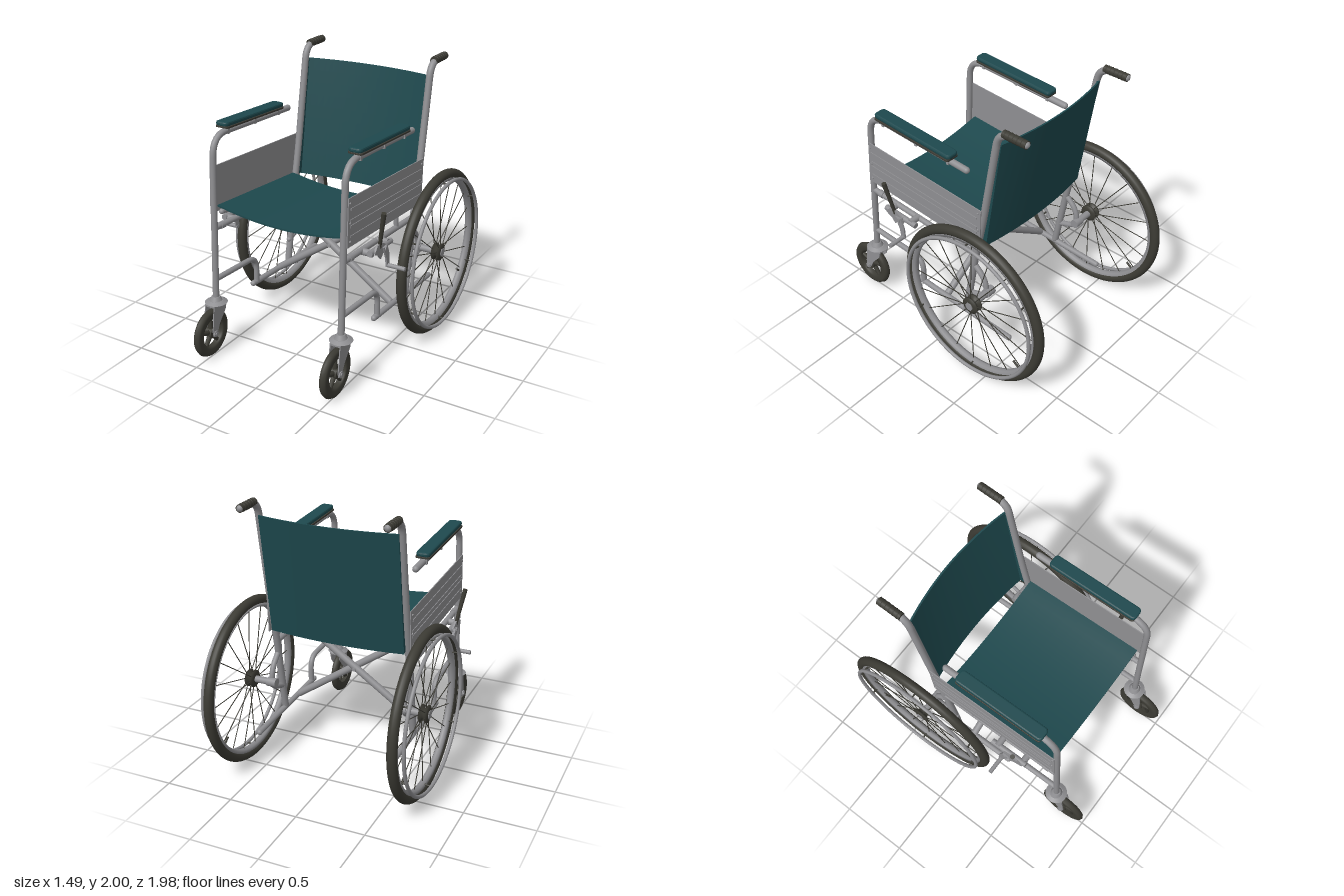
import * as THREE from 'three';

const material = (name, color) => {
  const m = new THREE.MeshStandardMaterial({ color });
  m.name = name;
  return m;
};

export function createModel() {
  const metal = material('grey metal', 0x8f8f92);
  const rubber = material('dark rubber', 0x3c3b34);
  const fabric = material('teal upholstery', 0x1e494e);
  const model = new THREE.Group();
  model.name = 'wheelchair';
  const V = (x, y, z) => new THREE.Vector3(x, y, z);

  const add = (parent, name, geometry, mat, x = 0, y = 0, z = 0) => {
    const mesh = new THREE.Mesh(geometry, mat);
    mesh.name = name;
    mesh.position.set(x, y, z);
    parent.add(mesh);
    return mesh;
  };

  // Straight rod between two points
  const rod = (parent, name, a, b, r, mat, r2 = r, sides = 16) => {
    const mesh = add(parent, name, new THREE.CylinderGeometry(r2, r, a.distanceTo(b), sides), mat);
    mesh.position.copy(a).lerp(b, 0.5);
    mesh.quaternion.setFromUnitVectors(V(0, 1, 0), b.clone().sub(a).normalize());
  };

  // Round tube through points, with rounded corners and closed ends
  const pipe = (parent, name, pts, r, bend = 0.1) => {
    const path = new THREE.CurvePath();
    let from = pts[0];
    for (let i = 1; i < pts.length - 1; i++) {
      const [a, b, c] = [pts[i - 1], pts[i], pts[i + 1]];
      const d = Math.min(bend, a.distanceTo(b) * 0.49, c.distanceTo(b) * 0.49);
      const p = b.clone().add(a.clone().sub(b).setLength(d));
      const q = b.clone().add(c.clone().sub(b).setLength(d));
      path.add(new THREE.LineCurve3(from, p));
      path.add(new THREE.QuadraticBezierCurve3(p, b, q));
      from = q;
    }
    path.add(new THREE.LineCurve3(from, pts[pts.length - 1]));
    add(parent, name, new THREE.TubeGeometry(path, pts.length > 2 ? 64 : 2, r, 14), metal);
    for (const e of [pts[0], pts[pts.length - 1]]) {
      add(parent, name + 'End', new THREE.SphereGeometry(r, 14, 8), metal, e.x, e.y, e.z);
    }
  };

  // Flat plate outlined in (z, y), centred on x
  const plate = (parent, name, outline, x, thick, mat) => {
    const shape = new THREE.Shape(outline.map(p => new THREE.Vector2(p[0], p[1])));
    const g = new THREE.ExtrudeGeometry(shape, { depth: thick, bevelEnabled: false });
    g.translate(0, 0, -thick / 2).rotateY(-Math.PI / 2);
    add(parent, name, g, mat, x);
  };

  // Rounded slab lying flat, with sloping edges
  const slab = (parent, name, w, l, h, bevel, mat, x, y, z) => {
    const a = w / 2 - bevel, b = l / 2 - bevel, r = 0.02;
    const shape = new THREE.Shape();
    shape.moveTo(-a, r - b).lineTo(-a, b - r).quadraticCurveTo(-a, b, r - a, b);
    shape.lineTo(a - r, b).quadraticCurveTo(a, b, a, b - r);
    shape.lineTo(a, r - b).quadraticCurveTo(a, -b, a - r, -b);
    shape.lineTo(r - a, -b).quadraticCurveTo(-a, -b, -a, r - b);
    const depth = h - bevel * 2;
    const g = new THREE.ExtrudeGeometry(shape, { depth, bevelSize: bevel, bevelThickness: bevel, bevelSegments: 2 });
    g.translate(0, 0, -depth / 2).rotateX(-Math.PI / 2 - 0.052);
    add(parent, name, g, mat, x, y, z);
  };

  // Solid of revolution about the x axis, profile points are [radius, x]
  const turned = (parent, name, profile, mat, seg) => add(parent, name, new THREE.LatheGeometry(
    profile.map(p => new THREE.Vector2(p[0], p[1])), seg).rotateZ(-Math.PI / 2), mat);

  // Fabric sheet shaped by a rule
  const sheet = (name, w, h, d, rule) => {
    const g = new THREE.BoxGeometry(w, h, d, 20, h > 0.1 ? 10 : 1, d > 0.1 ? 10 : 1);
    const p = g.attributes.position, v = V(0, 0, 0);
    for (let i = 0; i < p.count; i++) {
      rule(v.fromBufferAttribute(p, i));
      p.setXYZ(i, v.x, v.y, v.z);
    }
    g.computeVertexNormals();
    add(model, name, g, fabric);
  };
  const sag = x => 1 - Math.min(1, (x / 0.5) ** 2);
  sheet('seat', 1.03, 0.012, 0.935, v => {
    v.y += 1.058 + v.z * 0.075 - 0.055 * sag(v.x);
    v.z += 0.193;
  });
  sheet('backrest', 0.99, 0.865, 0.012, v => {
    const t = v.y / 0.865 + 0.5;
    v.z += -0.345 - 0.13 * t - (0.042 + 0.016 * t) * sag(v.x);
    v.y += 1.443;
  });

  // Folding cross brace
  for (const s of [-1, 1]) {
    const z = s > 0 ? -0.035 : 0.025;
    rod(model, 'crossBrace', V(-s * 0.49, 0.345, z), V(s * 0.485, 1.015, z), 0.026, metal);
  }
  rod(model, 'crossBracePivot', V(0, 0.675, -0.07), V(0, 0.675, 0.06), 0.013, metal);

  const buildWheel = s => {
    const wheel = new THREE.Group();
    wheel.name = 'rearWheel';
    wheel.position.set(s * 0.66, 0.616, -0.375);
    model.add(wheel);
    add(wheel, 'tyre', new THREE.TorusGeometry(0.576, 0.035, 16, 80).rotateY(Math.PI / 2), rubber);
    turned(wheel, 'rim', [[0.55, 0.026], [0.528, 0.02], [0.52, 0], [0.528, -0.02], [0.55, -0.026], [0.55, 0.026]], metal, 80);
    add(wheel, 'handRim', new THREE.TorusGeometry(0.546, 0.013, 10, 80).rotateY(Math.PI / 2), metal, s * 0.067);
    turned(wheel, 'hub', [[0, -0.034], [0.04, -0.034], [0.063, -0.026], [0.063, -0.016], [0.04, -0.008],
      [0.04, 0.008], [0.063, 0.016], [0.063, 0.026], [0.04, 0.034], [0, 0.034]], rubber, 28);
    rod(wheel, 'axleNut', V(s * 0.03, 0, 0), V(s * 0.04, 0, 0), 0.032, metal, 0.032, 6);
    for (let i = 0; i < 20; i++) {
      const a = (i / 20) * Math.PI * 2, x = i % 2 ? 0.021 : -0.021;
      rod(wheel, 'spoke', V(x, Math.sin(a) * 0.05, Math.cos(a) * 0.05),
        V(0, Math.sin(a) * 0.525, Math.cos(a) * 0.525), 0.0033, rubber, 0.0033, 6);
    }
    for (let i = 0; i < 6; i++) {
      const a = (i / 6) * Math.PI * 2 + 0.5, c = Math.cos(a), n = Math.sin(a);
      rod(wheel, 'handRimPeg', V(s * 0.01, n * 0.535, c * 0.535), V(s * 0.067, n * 0.543, c * 0.543), 0.006, rubber, 0.006, 8);
    }
    rod(wheel, 'valve', V(0, -0.33, -0.41), V(0, -0.295, -0.363), 0.008, rubber, 0.008, 8);
  };

  const buildCaster = s => {
    const caster = new THREE.Group();
    caster.name = 'frontCaster';
    caster.position.set(s * 0.505, 0.192, 0.815);
    model.add(caster);
    turned(caster, 'casterTyre', [[0.104, -0.018], [0.122, -0.022], [0.15, -0.027], [0.167, -0.02], [0.177, 0],
      [0.167, 0.02], [0.15, 0.027], [0.122, 0.022], [0.104, 0.018], [0.104, -0.018]], rubber, 48);
    rod(caster, 'casterHub', V(-0.028, 0, 0), V(0.028, 0, 0), 0.038, rubber);
    for (let i = 0; i < 5; i++) {
      const a = (i / 5) * Math.PI * 2 + Math.PI / 2;
      rod(caster, 'casterSpoke', V(0, 0, 0), V(0, Math.sin(a) * 0.112, Math.cos(a) * 0.112), 0.021, rubber, 0.014, 8);
    }
    rod(caster, 'casterAxle', V(-0.056, 0, 0), V(0.056, 0, 0), 0.013, metal);
    for (const e of [-1, 1]) {
      plate(caster, 'forkSide', [[-0.145, 0.208], [0, 0.208], [0.024, 0.02], [0.018, -0.018], [-0.012, -0.022],
        [-0.03, 0.01], [-0.055, 0.06], [-0.125, 0.14]], e * 0.037, 0.008, metal);
      rod(caster, 'casterNut', V(e * 0.04, 0, 0), V(e * 0.05, 0, 0), 0.024, metal, 0.024, 6);
    }
    add(caster, 'forkCrown', new THREE.BoxGeometry(0.082, 0.014, 0.145), metal, 0, 0.201, -0.073);
    add(caster, 'bearingCap', new THREE.CylinderGeometry(0.05, 0.08, 0.016, 32), metal, 0, 0.216, -0.076);
    add(caster, 'bearing', new THREE.CylinderGeometry(0.03, 0.045, 0.03, 24), metal, 0, 0.237, -0.075);
  };

  const buildSide = s => {
    const side = new THREE.Group();
    side.name = s > 0 ? 'leftSideFrame' : 'rightSideFrame';
    model.add(side);
    const P = (y, z, x = 0.505) => V(s * x, y, z);

    // Main tubes
    pipe(side, 'frontPostAndArmTube', [P(0.41, 0.74), P(1.605, 0.69), P(1.56, -0.2)], 0.023, 0.15);
    pipe(side, 'backPost', [P(0.34, -0.175), P(0.9, -0.27), P(1.2, -0.335), P(1.975, -0.47), P(1.975, -0.68)], 0.025, 0.11);
    rod(side, 'pushGrip', P(1.975, -0.508), P(1.975, -0.69), 0.0275, rubber);
    for (let i = 0; i < 5; i++) {
      add(side, 'gripRidge', new THREE.TorusGeometry(0.0265, 0.003, 6, 20), rubber, s * 0.505, 1.975, -0.53 - i * 0.032);
    }
    pipe(side, 'middleRail', [P(0.95, 0.705), P(0.895, -0.265)], 0.021);
    pipe(side, 'seatRail', [P(1.055, 0.65, 0.488), P(0.99, -0.265, 0.488)], 0.02);
    pipe(side, 'lowerRail', [P(0.345, 0.295), P(0.305, -0.565)], 0.021);
    pipe(side, 'lowerBracketTube', [P(0.57, 0.72), P(0.545, 0.25), P(0.345, 0.25)], 0.02, 0.13);
    pipe(side, 'axleBracketTube', [P(0.81, -0.25), P(0.71, -0.355), P(0.57, -0.365), P(0.51, -0.19)], 0.02, 0.09);
    rod(side, 'railCollar', P(0.947, 0.655), P(0.945, 0.615), 0.026, metal);
    rod(side, 'seatHinge', P(1.0, 0.0), P(0.92, -0.005), 0.016, metal);

    // Rear axle
    rod(side, 'axle', P(0.616, -0.375, 0.47), P(0.616, -0.375, 0.64), 0.025, metal);
    rod(side, 'axleCollar', P(0.616, -0.375, 0.46), P(0.616, -0.375, 0.53), 0.033, metal);

    // Backrest hem reaching round to the post
    plate(side, 'backrestHem', [[-0.3, 1.02], [-0.35, 1.012], [-0.48, 1.874], [-0.44, 1.874]], s * 0.488, 0.009, fabric);

    // Armrest
    slab(side, 'armrestPad', 0.098, 0.69, 0.032, 0.011, fabric, s * 0.507, 1.639, 0.252);
    slab(side, 'armrestBase', 0.106, 0.68, 0.014, 0.002, rubber, s * 0.507, 1.618, 0.252);
    for (const z of [0.54, 0.23, -0.055]) {
      const y = 1.606 + 0.0495 * (z - 0.54);
      add(side, 'armrestClip', new THREE.BoxGeometry(0.05, 0.056, 0.02), metal, s * 0.507, y, z);
    }

    // Skirt guard with pressed ribs and rivets
    plate(side, 'skirtGuard', [[0.70, 1.38], [-0.345, 1.318], [-0.33, 0.985], [0.717, 1.05]], s * 0.531, 0.007, metal);
    const top = z => 1.38 + (z - 0.70) * 0.0593;
    for (const [drop, h] of [[0.07, 0.014], [0.145, 0.02], [0.185, 0.02], [0.255, 0.014]]) {
      plate(side, 'guardRib', [[0.68, top(0.68) - drop], [-0.31, top(-0.31) - drop],
        [-0.31, top(-0.31) - drop - h], [0.68, top(0.68) - drop - h]], s * 0.5365, 0.006, metal);
    }
    for (const z of [0.685, -0.315]) {
      for (const drop of [0.035, 0.17, 0.295]) {
        const y = top(z) - drop;
        rod(side, 'guardRivet', P(y, z, 0.53), P(y, z, 0.541), 0.01, metal, 0.007, 10);
      }
    }

    // Parking brake
    rod(side, 'brakeRail', P(0.938, 0.51, 0.58), P(0.922, 0.22, 0.58), 0.021, metal);
    for (const z of [0.48, 0.27]) rod(side, 'brakeClamp', P(0.93, z, 0.505), P(0.93, z, 0.59), 0.024, metal);
    plate(side, 'brakePlate', [[0.49, 0.93], [0.45, 0.975], [0.39, 0.98], [0.33, 0.945], [0.32, 0.905],
      [0.37, 0.90], [0.40, 0.865], [0.43, 0.90]], s * 0.6, 0.014, metal);
    plate(side, 'brakeArm', [[0.385, 0.94], [0.335, 0.945], [0.305, 0.87], [0.30, 0.785], [0.335, 0.78], [0.345, 0.85]], s * 0.613, 0.012, metal);
    rod(side, 'brakePivot', P(0.925, 0.355, 0.58), P(0.925, 0.355, 0.625), 0.018, metal);
    rod(side, 'brakeLever', P(0.94, 0.405, 0.595), P(1.215, 0.445, 0.645), 0.012, rubber, 0.017);
    rod(side, 'brakeShoe', P(0.79, 0.32, 0.605), P(0.79, 0.32, 0.745), 0.015, metal);
    buildWheel(s);
    buildCaster(s);
  };
  for (const s of [-1, 1]) buildSide(s);
  return model;
}
